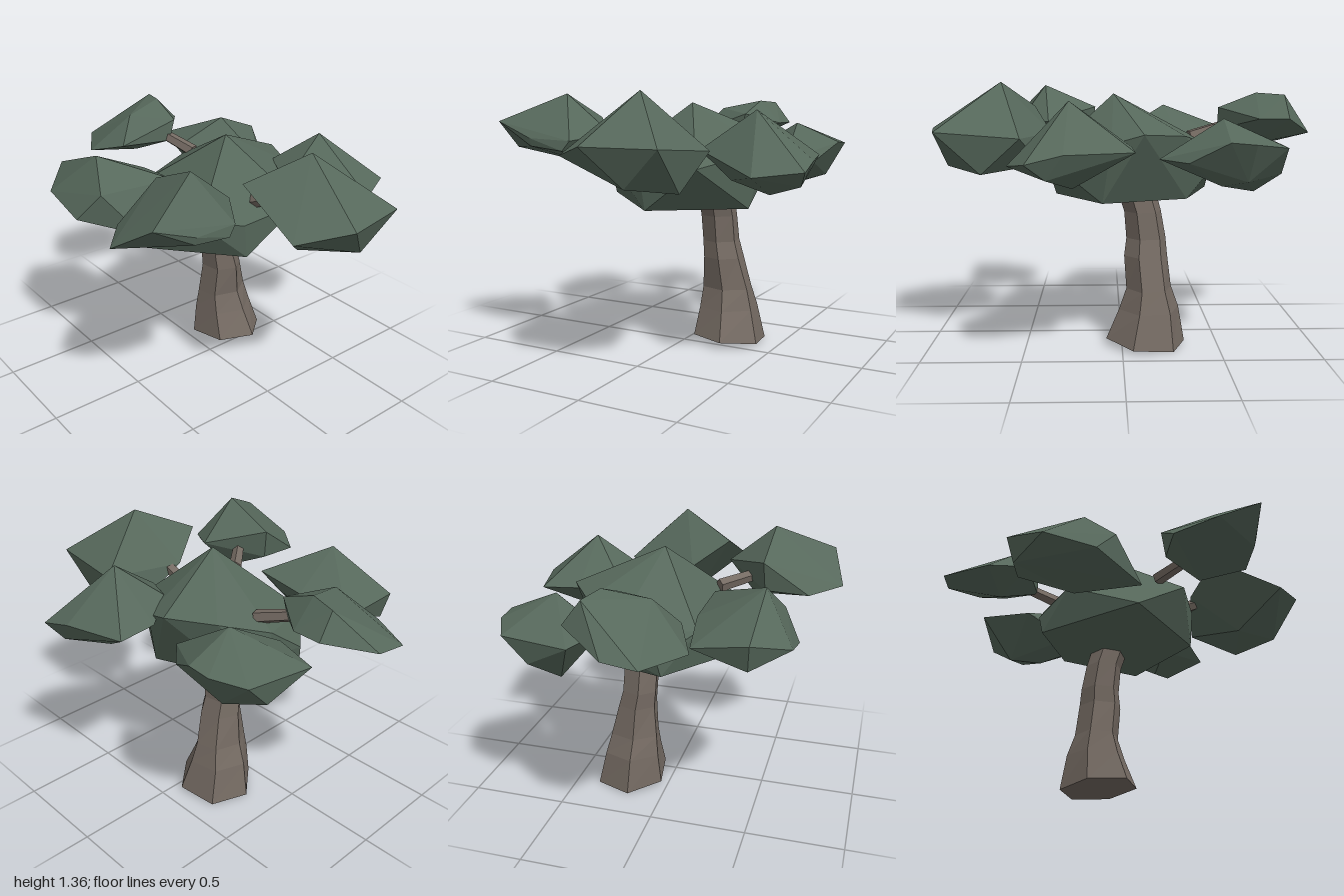
import * as THREE from 'three';
import { ConvexGeometry } from 'three/addons/geometries/ConvexGeometry.js';

const leaf = new THREE.MeshStandardMaterial({ color: 0x56685b, flatShading: true });
leaf.name = 'leaf green';
const bark = new THREE.MeshStandardMaterial({ color: 0x756b63, flatShading: true });
bark.name = 'bark brown';

// Faceted foliage clumps: crown corners, rim corners, underside corners
const clumps = {
  centreFoliage: {
    crown: [[0.04, 1.305, -0.07]],
    rim: [[-0.1, 1.115, -0.52], [0.055, 1.07, -0.49], [0.39, 0.99, -0.27], [0.36, 0.95, 0.065], [0.28, 0.99, 0.28],
      [-0.33, 1.0, 0.2], [-0.48, 0.9, 0.03], [-0.46, 1.04, -0.16], [-0.31, 1.1, -0.37]],
    base: [[-0.46, 0.8, 0.05], [-0.44, 0.9, -0.2], [-0.33, 0.775, -0.25], [0.1, 0.775, -0.42],
      [0.35, 0.765, 0.04], [0.02, 0.805, 0.42]],
  },
  frontLeftFoliage: {
    crown: [[0.43, 1.35, 0.445]],
    rim: [[0.14, 1.225, 0.43], [0.4, 1.15, 0.2], [0.59, 1.12, 0.32], [0.61, 1.13, 0.55], [0.59, 1.21, 0.76],
      [0.36, 1.065, 0.83], [0.165, 1.06, 0.67]],
    base: [[0.35, 0.99, 0.355], [0.6, 1.07, 0.36], [0.6, 1.09, 0.55], [0.16, 1.07, 0.44]],
  },
  frontRightFoliage: {
    crown: [[-0.265, 1.235, 0.515]],
    rim: [[-0.6, 1.03, 0.23], [-0.32, 1.08, 0.195], [-0.03, 1.11, 0.215], [0.035, 0.89, 0.45], [-0.11, 1.09, 0.59],
      [-0.21, 0.95, 0.68], [-0.47, 1.02, 0.68], [-0.65, 1.09, 0.51]],
    base: [[-0.61, 0.95, 0.5], [-0.3, 0.92, 0.5], [-0.3, 0.92, 0.28]],
  },
  leftFoliage: {
    crown: [[0.62, 1.365, -0.105]],
    rim: [[0.5, 1.09, -0.4], [0.925, 1.12, -0.37], [0.995, 1.125, -0.02], [0.835, 1.07, 0.2], [0.47, 1.235, 0.18],
      [0.37, 1.1, -0.01]],
    base: [[0.64, 0.905, -0.02], [0.89, 0.94, -0.18], [0.7, 0.91, -0.35], [0.41, 0.95, -0.22]],
  },
  backLeftFoliage: {
    crown: [[0.255, 1.275, -0.525]],
    rim: [[-0.05, 1.05, -0.735], [0.27, 1.045, -0.815], [0.44, 1.005, -0.835], [0.54, 0.98, -0.62],
      [0.305, 1.08, -0.25], [0.08, 1.12, -0.36], [-0.04, 1.06, -0.53]],
    base: [[0.24, 0.87, -0.59], [0.35, 0.93, -0.785], [0.27, 0.935, -0.4]],
  },
  backRightFoliage: {
    crown: [[-0.48, 1.19, -0.46]],
    rim: [[-0.76, 1.06, -0.62], [-0.6, 1.08, -0.7], [-0.48, 1.09, -0.7], [-0.3, 0.99, -0.62], [-0.17, 1.0, -0.505],
      [-0.315, 0.98, -0.37], [-0.55, 1.05, -0.2], [-0.81, 1.05, -0.28]],
    base: [[-0.645, 0.83, -0.385], [-0.47, 0.87, -0.5], [-0.58, 0.9, -0.6], [-0.755, 0.93, -0.5]],
  },
  rightFoliage: {
    crown: [[-0.83, 1.3, -0.19], [-0.69, 1.31, -0.15], [-0.64, 1.265, 0.07]],
    rim: [[-0.84, 1.18, -0.28], [-0.69, 1.18, -0.275], [-0.5, 1.235, -0.135], [-0.55, 1.13, 0.18],
      [-0.755, 1.07, 0.27], [-1.0, 1.08, 0.12], [-0.995, 1.1, -0.05]],
    base: [[-0.7, 1.035, 0], [-0.82, 1.04, 0.1], [-0.5, 1.12, -0.1]],
  },
};

// Six-sided trunk lofted through rings of [y, centre x, centre z, radius x, radius z]
function trunkGeometry() {
  const rings = [
    [0.022, -0.125, -0.22, 0.21, 0.2], [0.19, -0.142, -0.205, 0.16, 0.165], [0.3, -0.142, -0.195, 0.12, 0.143],
    [0.47, -0.126, -0.18, 0.115, 0.11], [0.56, -0.128, -0.163, 0.105, 0.1], [0.7, -0.11, -0.158, 0.098, 0.1],
    [0.8, -0.08, -0.155, 0.1, 0.097], [0.95, -0.04, -0.15, 0.09, 0.09],
  ];
  const sides = 6, pos = [], index = [];
  rings.forEach(([y, cx, cz, rx, rz], r) => {
    for (let i = 0; i < sides; i++) {
      const a = (-10 + i * 60) * Math.PI / 180;
      const x = Math.cos(a), z = Math.sin(a);
      const tilt = r === 0 ? 0.02 * x + 0.01 * z : 0; // slanted foot
      pos.push(cx + rx * x, y + tilt, cz + rz * z);
    }
  });
  for (let r = 0; r < rings.length - 1; r++) {
    for (let i = 0; i < sides; i++) {
      const a = r * sides + i, b = r * sides + (i + 1) % sides;
      index.push(a, a + sides, b, b, a + sides, b + sides);
    }
  }
  const top = (rings.length - 1) * sides;
  for (let i = 1; i < sides - 1; i++) {
    index.push(0, i, i + 1, top, top + i + 1, top + i);
  }
  const g = new THREE.BufferGeometry();
  g.setAttribute('position', new THREE.Float32BufferAttribute(pos, 3));
  g.setIndex(index);
  const flat = g.toNonIndexed();
  flat.computeVertexNormals();
  return flat;
}

// Thin tapered branch between two points
function branch(name, from, to) {
  const a = new THREE.Vector3(...from), b = new THREE.Vector3(...to);
  const dir = b.clone().sub(a);
  const mesh = new THREE.Mesh(new THREE.CylinderGeometry(0.03, 0.036, dir.length(), 5), bark);
  mesh.position.copy(a).add(b).multiplyScalar(0.5);
  mesh.quaternion.setFromUnitVectors(new THREE.Vector3(0, 1, 0), dir.normalize());
  mesh.name = name;
  return mesh;
}

export function createModel() {
  const tree = new THREE.Group();
  tree.name = 'tree';

  const trunk = new THREE.Mesh(trunkGeometry(), bark);
  trunk.name = 'trunk';
  tree.add(trunk);

  tree.add(
    branch('rightBranch', [-0.35, 1.085, -0.155], [-0.57, 1.15, -0.09]),
    branch('frontLeftBranch', [0.15, 1.08, 0.2], [0.32, 1.12, 0.4]),
    branch('leftBranch', [0.27, 1.02, -0.05], [0.48, 1.11, -0.06]),
  );

  for (const [name, { crown, rim, base }] of Object.entries(clumps)) {
    const points = [...crown, ...rim, ...base].map((p) => new THREE.Vector3(...p));
    const mesh = new THREE.Mesh(new ConvexGeometry(points), leaf);
    mesh.name = name;
    tree.add(mesh);
  }
  return tree;
}
